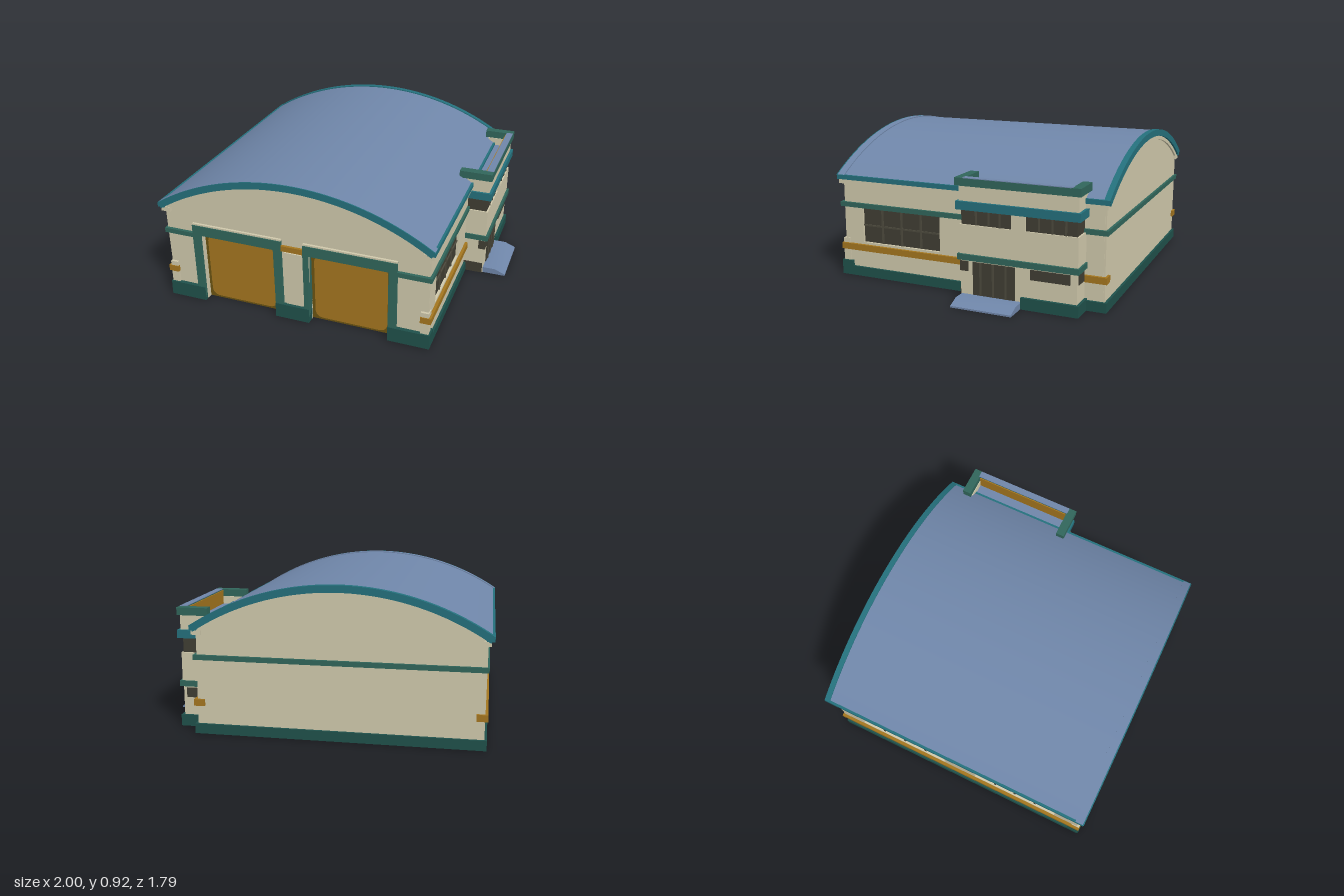
import * as THREE from 'three';
import { toCreasedNormals } from 'three/addons/utils/BufferGeometryUtils.js';

const paint = (name, color) => {
  const m = new THREE.MeshStandardMaterial({ color });
  m.name = name;
  return m;
};

export function createModel() {
  const root = new THREE.Group();
  root.name = 'garageBuilding';
  const cream = paint('cream', 0xd0c9ac), blue = paint('roofBlue', 0x6f86a9);
  const base = paint('darkGreen', 0x1f514b), trim = paint('trimGreen', 0x31665b);
  const teal = paint('teal', 0x24707c), gold = paint('gold', 0xa4761f);
  const rim = paint('darkGold', 0x6b5312), glass = paint('darkGlass', 0x403e33);
  const bar = paint('windowBar', 0x4d4a3d);

  const add = (name, geo, mat) => {
    const mesh = new THREE.Mesh(geo, mat);
    mesh.name = name;
    root.add(mesh);
    return mesh;
  };
  // box given by its limits on each axis
  const box = (name, mat, x0, x1, y0, y1, z0, z1) => {
    const g = new THREE.BoxGeometry(x1 - x0, y1 - y0, z1 - z0);
    g.translate((x0 + x1) / 2, (y0 + y1) / 2, (z0 + z1) / 2);
    return add(name, g, mat);
  };
  const extrude = (shape, depth) => toCreasedNormals(
    new THREE.ExtrudeGeometry(shape, { depth, bevelEnabled: false, curveSegments: 40 }), 0.4);

  // ---- barrel roof ----
  const CX = -0.125, CY = -0.687, R = 1.602, HALF = Math.asin(0.875 / R), UP = Math.PI / 2;
  const arcBand = (name, mat, rOut, rIn, z0, z1) => {
    const s = new THREE.Shape();
    s.absarc(CX, CY, rOut, UP - HALF, UP + HALF, false);
    s.absarc(CX, CY, rIn, UP + HALF, UP - HALF, true);
    return add(name, extrude(s, z1 - z0).translate(0, 0, z0), mat);
  };
  arcBand('roof', blue, R - 0.006, 1.565, -0.86, 0.84);
  arcBand('frontRoofLip', blue, R, 1.565, 0.84, 0.888);
  arcBand('frontRoofEdge', teal, R, 1.56, 0.888, 0.895);
  arcBand('backRoofEdge', teal, R, 1.56, -0.895, -0.86);
  arcBand('frontCornice', cream, 1.56, 1.537, 0.82, 0.882);
  arcBand('backCornice', cream, 1.56, 1.537, -0.882, -0.82);

  // ---- arched end walls ----
  const doors = [[-0.73, -0.24], [-0.02, 0.48]], DOOR_TOP = 0.47;
  const endWall = (name, openings, z) => {
    const s = new THREE.Shape();
    const a = Math.asin(0.84 / 1.568);
    s.moveTo(-0.96, 0);
    for (const [l, r] of openings) {
      s.lineTo(l, 0); s.lineTo(l, DOOR_TOP); s.lineTo(r, DOOR_TOP); s.lineTo(r, 0);
    }
    s.lineTo(0.72, 0);
    s.absarc(CX, CY, 1.568, UP - a, UP + a, false);
    s.closePath();
    add(name, extrude(s, 0.04).translate(0, 0, z), cream);
  };
  endWall('frontWall', doors, 0.825);
  endWall('backWall', [], -0.87);
  box('backBase', base, -0.97, 0.735, 0, 0.06, -0.885, -0.82);
  box('backBand', trim, -0.97, 0.735, 0.45, 0.48, -0.885, -0.825);

  // ---- vehicle doors with frames ----
  for (const [l, r] of doors) {
    const outerL = l < -0.5 ? l - 0.05 : l - 0.03;
    box('doorRim', rim, l, r, 0, DOOR_TOP, 0.805, 0.825);
    const w = r - l - 0.04, h = 0.44, k = 0.055;
    const s = new THREE.Shape();
    s.moveTo(k, 0); s.lineTo(w - k, 0); s.quadraticCurveTo(w, 0, w, k);
    s.lineTo(w, h - k); s.quadraticCurveTo(w, h, w - k, h);
    s.lineTo(k, h); s.quadraticCurveTo(0, h, 0, h - k);
    s.lineTo(0, k); s.quadraticCurveTo(0, 0, k, 0);
    for (const z of [0.825, 0.8])
      add('doorPanel', extrude(s, 0.005).translate(l + 0.02, 0.015, z), gold);
    box('doorFrameLeft', trim, outerL, l, 0, 0.535, 0.81, 0.885);
    box('doorFrameRight', trim, r, r + 0.05, 0, 0.535, 0.81, 0.885);
    box('doorFrameTop', trim, l, r, DOOR_TOP, 0.535, 0.81, 0.885);
    box('doorFrameCap', cream, outerL, r + 0.05, 0.535, 0.545, 0.85, 0.88);
  }
  for (const [l, r] of [[-0.97, -0.73], [-0.24, -0.02], [0.48, 0.735]])
    box('frontBase', base, l, r, 0, 0.095, 0.81, 0.89);
  box('frontBandA', trim, -0.97, -0.78, 0.45, 0.48, 0.82, 0.885);
  box('frontBandB', trim, 0.53, 0.735, 0.45, 0.48, 0.82, 0.885);
  box('frontGoldBand', gold, -0.19, -0.05, 0.47, 0.505, 0.82, 0.882);
  box('doorPier', cream, -0.17, -0.065, 0.1, 0.46, 0.84, 0.876);
  for (const x of [-0.965, 0.675]) box('cornerPilaster', cream, x, x + 0.05, 0.09, 0.24, 0.83, 0.88);

  // ---- side walls with window openings; dir is +1 for left (+x), -1 for right ----
  const sideWall = (dir, windows, bands) => {
    const X = dir > 0 ? 0.72 : -0.96;
    const strip = (name, mat, out, depth, y0, y1, z0, z1) => {
      const a = X + dir * out, b = a - dir * depth;
      box(name, mat, Math.min(a, b), Math.max(a, b), y0, y1, z0, z1);
    };
    const s = new THREE.Shape();
    s.moveTo(-0.86, 0); s.lineTo(0.86, 0); s.lineTo(0.86, 0.64); s.lineTo(-0.86, 0.64);
    for (const [a, b] of windows) {
      const p = new THREE.Path();
      p.moveTo(a, 0.225); p.lineTo(a, 0.45); p.lineTo(b, 0.45); p.lineTo(b, 0.225);
      s.holes.push(p);
      strip('sideWindow', glass, -0.015, 0.015, 0.225, 0.45, a, b);
      for (let i = 1; i < 4; i++) {
        const z = a + (b - a) * i / 4;
        strip('windowMullion', bar, -0.008, 0.03, 0.225, 0.45, z - 0.006, z + 0.006);
      }
      strip('windowTransom', bar, -0.008, 0.03, 0.33, 0.34, a, b);
    }
    const g = extrude(s, 0.04).rotateY(-Math.PI / 2);
    add('sideWall', g.translate(dir > 0 ? X : X + 0.04, 0, 0), cream);
    strip('sideBase', base, 0.015, 0.07, 0, 0.06, -0.885, 0.885);
    strip('sideBand', trim, 0.015, 0.06, 0.45, 0.48, -0.885, 0.885);
    strip('sideLedge', cream, 0.022, 0.06, 0.6, 0.63, -0.885, 0.885);
    strip('eave', teal, dir > 0 ? 0.03 : 0.04, 0.045, 0.628, 0.657, -0.893, 0.893);
    for (const [a, b] of bands) strip('goldBand', gold, 0.018, 0.065, 0.17, 0.21, a, b);
  };
  sideWall(1, [[0.18, 0.73]], [[-0.885, -0.75], [-0.03, 0.885]]);
  sideWall(-1, [[-0.72, -0.1], [0.12, 0.7]], [[-0.885, 0.885]]);

  // ---- office annex on the left side ----
  box('annexLowerWall', cream, 0.7, 0.85, 0, 0.25, -0.75, -0.03);
  box('annexMiddleWall', cream, 0.7, 0.855, 0.28, 0.46, -0.755, -0.025);
  box('annexUpperWindows', glass, 0.7, 0.845, 0.46, 0.55, -0.745, -0.035);
  box('annexUpperPier', cream, 0.8, 0.855, 0.46, 0.55, -0.44, -0.355);
  for (const z of [-0.13, -0.21, -0.28, -0.52, -0.6, -0.68])
    box('annexWindowBar', bar, 0.83, 0.851, 0.46, 0.55, z - 0.005, z + 0.005);
  box('annexLowerBand', trim, 0.7, 0.87, 0.25, 0.285, -0.765, -0.015);
  box('annexUpperBand', teal, 0.7, 0.872, 0.55, 0.6, -0.77, -0.01);
  box('annexRoof', blue, 0.7, 0.84, 0.6, 0.64, -0.74, -0.04);
  // parapet ring: cream below, green above
  for (const [z0, z1] of [[-0.755, -0.71], [-0.065, -0.025]])
    box('parapetEnd', cream, 0.7, 0.855, 0.6, 0.69, z0, z1);
  box('parapetSide', cream, 0.825, 0.855, 0.6, 0.69, -0.755, -0.025);
  box('parapetCapBack', trim, 0.68, 0.87, 0.69, 0.737, -0.77, -0.715);
  box('parapetCapFront', trim, 0.66, 0.87, 0.69, 0.737, -0.06, -0.005);
  box('parapetCapSide', trim, 0.825, 0.87, 0.69, 0.735, -0.72, -0.05);
  box('parapetTop', blue, 0.825, 0.868, 0.735, 0.739, -0.72, -0.055);
  box('parapetLining', gold, 0.818, 0.825, 0.64, 0.73, -0.71, -0.065);
  // ground floor openings
  box('entranceDoor', glass, 0.84, 0.856, 0.04, 0.24, -0.375, -0.11);
  for (const z of [-0.16, -0.24, -0.32]) box('entranceBar', bar, 0.85, 0.86, 0.04, 0.24, z - 0.006, z + 0.006);
  box('annexLowerWindow', glass, 0.84, 0.856, 0.18, 0.24, -0.71, -0.47);
  box('annexCornerWindow', glass, 0.81, 0.855, 0.18, 0.24, -0.08, -0.026);
  box('annexBackWindow', glass, 0.74, 0.83, 0.18, 0.24, -0.755, -0.74);
  box('annexBase', base, 0.7, 0.868, 0, 0.07, -0.765, -0.415);
  box('annexFrontPlinth', glass, 0.72, 0.845, 0, 0.07, -0.04, -0.024);

  // ---- sloped entrance step ----
  const step = new THREE.Shape();
  step.moveTo(0.84, 0); step.lineTo(1, 0); step.lineTo(1, 0.01);
  step.lineTo(0.93, 0.038); step.lineTo(0.84, 0.038);
  add('entranceStep', extrude(step, 0.38).translate(0, 0, -0.415), blue);

  return root;
}
